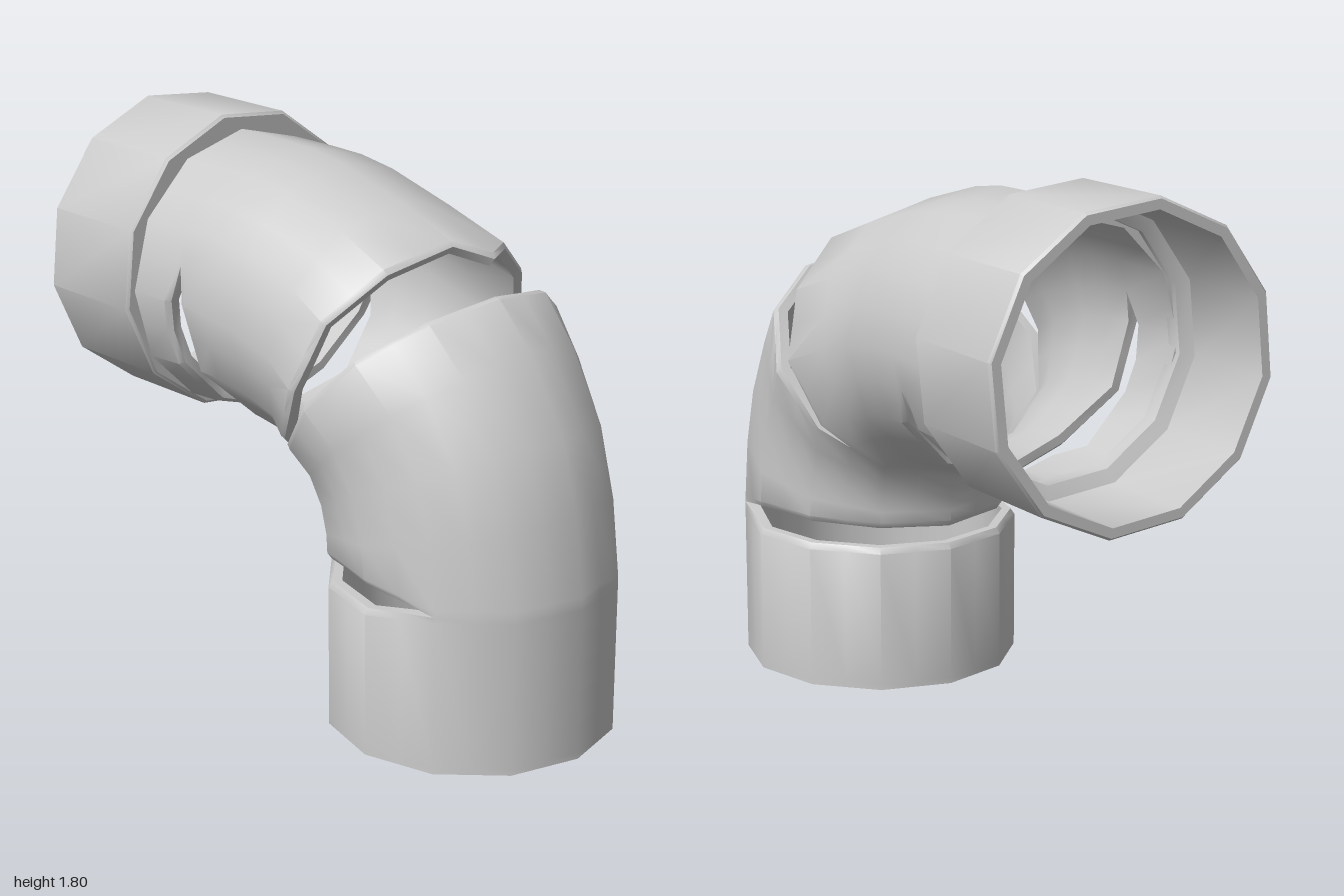
import * as THREE from 'three';
import { toCreasedNormals } from 'three/addons/utils/BufferGeometryUtils.js';

const N = 24;          // points per ring, lying on a 12-sided outline
const WALL = 0.045;    // pipe wall thickness
const LIP = 0.02;      // bevel on broken edges
const Z0 = 0.007;

// Pipe sections: outer-bend x, y, inner-bend x, y, half width in z
const A = 1, B = 5, C = 9;   // sections where the pipe has cracked
const sections = [
  [-0.62, 1.745, -0.62, 0.80, 0.47],
  [-0.385, 1.745, -0.375, 0.815, 0.47],
  [-0.25, 1.742, -0.24, 0.81, 0.47],
  [-0.10, 1.72, -0.10, 0.79, 0.47],
  [0.18, 1.645, -0.03, 0.77, 0.47],
  [0.53, 1.52, 0.005, 0.745, 0.525],
  [0.76, 1.28, 0.03, 0.69, 0.48],
  [0.90, 1.04, 0.04, 0.65, 0.47],
  [0.965, 0.80, 0.05, 0.61, 0.47],
  [1.0, 0.53, 0.05, 0.53, 0.47],
  [1.0, 0.0, 0.05, 0.0, 0.47],
];

// Crack openings: [degrees from the outer bend, distance the edge is pulled back]
const cracks = {
  closed: [[-180, 0], [180, 0]],
  aBefore: [[-180, 0.03], [-150, 0.06], [-120, 0.03], [-105, 0], [75, 0], [90, 0.03],
    [105, 0.06], [120, 0.045], [150, 0.06], [165, 0.02], [180, 0.03]],
  aAfter: [[-180, 0.05], [-150, 0.07], [-120, 0.03], [-105, 0], [75, 0], [90, 0.025],
    [120, 0.03], [150, 0.1], [180, 0.05]],
  bBefore: [[-135, 0], [-120, 0.012], [-90, 0.03], [-60, 0.09], [-30, 0.09], [-15, 0.03],
    [0, 0.11], [30, 0.11], [60, 0.1], [90, 0.03], [120, 0.012], [135, 0]],
  bAfter: [[-135, 0], [-120, 0.01], [-90, 0.03], [-60, 0.06], [-30, 0.1], [0, 0.115],
    [30, 0.1], [60, 0.06], [90, 0.03], [120, 0.01], [135, 0]],
  cBefore: [[-180, 0.025], [-105, 0.05], [-90, 0.048], [-60, 0],
    [60, 0], [90, 0.048], [105, 0.05], [180, 0.025]],
  cAfter: [[-180, 0.035], [-90, 0.03], [-60, 0], [60, 0], [90, 0.03], [180, 0.035]],
};

function gapAt(table, k) {
  const deg = (k * 360) / N - (k > N / 2 ? 360 : 0);
  for (let i = 0; i < table.length - 1; i++) {
    const [d0, g0] = table[i], [d1, g1] = table[i + 1];
    if (deg >= d0 && deg <= d1) return g0 + ((g1 - g0) * (deg - d0)) / (d1 - d0);
  }
  return 0;
}

function ringPoint(index, k, inset) {
  const [ox, oy, ix, iy, rz] = sections[index];
  const a = (k / N) * Math.PI * 2;
  const r = (k % 2 ? Math.cos(Math.PI / 12) : 1) * (1 - inset / 0.47);
  const c = r * Math.cos(a);
  return new THREE.Vector3(
    (ox + ix) / 2 + ((ox - ix) / 2) * c,
    (oy + iy) / 2 + ((oy - iy) / 2) * c,
    Z0 + rz * r * Math.sin(a));
}

// Ring at a broken edge, pulled back from the crack toward the next section
function edgeRing(index, dir, table, extra, inset, lip) {
  return Array.from({ length: N }, (_, k) => {
    const gap = gapAt(table, k);
    const depth = inset + lip * Math.min(1, gap / 0.03);
    const p = ringPoint(index, k, depth), q = ringPoint(index + dir, k, depth);
    return p.lerp(q, Math.min(0.95, (gap + extra) / p.distanceTo(q)));
  });
}

const plainRing = (index, inset) =>
  Array.from({ length: N }, (_, k) => ringPoint(index, k, inset));

// One closed shell: outer wall forward, inner wall back, rims between
function addShell(out, from, to, startGap, endGap) {
  const rings = [
    edgeRing(from, 1, startGap, 0, 0, 0.014),
    edgeRing(from, 1, startGap, LIP, 0, 0),
  ];
  for (let i = from + 1; i < to; i++) rings.push(plainRing(i, 0));
  rings.push(
    edgeRing(to, -1, endGap, LIP, 0, 0),
    edgeRing(to, -1, endGap, 0, 0, 0.014),
    edgeRing(to, -1, endGap, 0, WALL, 0));
  for (let i = to - 1; i > from; i--) rings.push(plainRing(i, WALL));
  rings.push(edgeRing(from, 1, startGap, 0, WALL, 0));

  rings.forEach((ring, r) => {
    const next = rings[(r + 1) % rings.length];
    for (let k = 0; k < N; k++) {
      const m = (k + 1) % N;
      for (const p of [ring[k], ring[m], next[k], ring[m], next[m], next[k]]) {
        out.push(p.x, p.y, p.z);
      }
    }
  });
}

export function createModel() {
  const group = new THREE.Group();
  const material = new THREE.MeshStandardMaterial({ color: 0xcccccc });
  const add = (geometry, name) => {
    const mesh = new THREE.Mesh(toCreasedNormals(geometry, 0.75), material);
    mesh.name = name;
    group.add(mesh);
    return mesh;
  };

  // Bent pipe, split by three cracks
  const positions = [];
  addShell(positions, 0, A, cracks.closed, cracks.aBefore);
  addShell(positions, A, B, cracks.aAfter, cracks.bBefore);
  addShell(positions, B, C, cracks.bAfter, cracks.cBefore);
  addShell(positions, C, sections.length - 1, cracks.cAfter, cracks.closed);
  const pipe = new THREE.BufferGeometry();
  pipe.setAttribute('position', new THREE.Float32BufferAttribute(positions, 3));
  add(pipe, 'crackedElbowPipe');

  // Wider twelve-sided socket at the horizontal end
  const profile = [
    [0.475, -1], [0.507, -1], [0.515, -0.99], [0.515, -0.595], [0.505, -0.585],
    [0.43, -0.585], [0.43, -0.64], [0.475, -0.66], [0.475, -1],
  ].map(([r, x]) => new THREE.Vector2(r, x));
  const socket = new THREE.LatheGeometry(profile, 12, THREE.MathUtils.degToRad(-81));
  socket.rotateZ(-Math.PI / 2);
  socket.translate(0, 1.295, 0.002);
  add(socket, 'socketCollar');

  return group;
}
